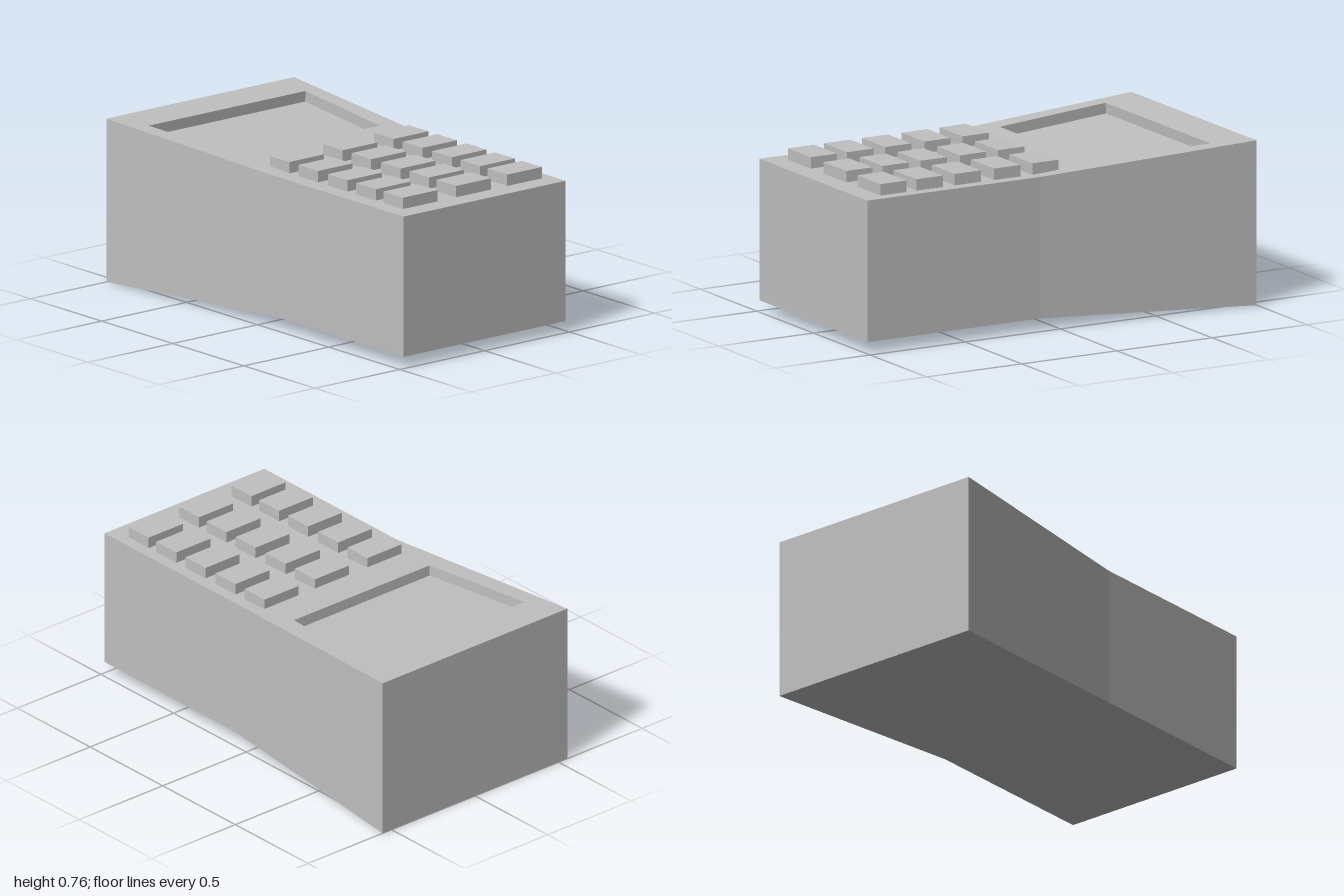
import * as THREE from 'three';

// Turns a list of quads (corners counter-clockwise from outside) into a flat-faced geometry
function quadGeometry(quads) {
  const pos = [];
  for (const [a, b, c, d] of quads) pos.push(...a, ...b, ...c, ...a, ...c, ...d);
  const g = new THREE.BufferGeometry();
  g.setAttribute('position', new THREE.Float32BufferAttribute(pos, 3));
  g.computeVertexNormals();
  return g;
}

// Rectangular body section, corners counter-clockwise as seen from +x
function section(x, y0, y1, z) {
  return [[x, y0, z], [x, y0, -z], [x, y1, -z], [x, y1, z]];
}

export function createModel() {
  const group = new THREE.Group();
  const grey = new THREE.MeshStandardMaterial({ color: 0xc0c0c0, flatShading: true });
  grey.name = 'casing grey';
  const add = (name, geometry) => {
    const m = new THREE.Mesh(geometry, grey);
    m.name = name;
    group.add(m);
    return m;
  };

  // Casing: flared screen end, waist, straight keypad end
  const bend = 0.09, top = 0.712, slope = 0.053 / (1 + bend);
  const wide = section(-1, 0, 0.765, 0.553);
  const waist = section(bend, 0.055, top, 0.478);
  const end = section(1, 0.055, top, 0.478);
  const casing = [[...wide].reverse(), end];
  for (const [s, t] of [[wide, waist], [waist, end]]) {
    for (let i = 0; i < 4; i++) {
      if (s === wide && i === 2) continue; // sloped top is framed around the screen
      const j = (i + 1) % 4;
      casing.push([s[i], s[j], t[j], t[i]]);
    }
  }

  // Sloped top with a tapered opening
  const topAt = (x, z) => [x, top + slope * (bend - x), z];
  const outer = [wide[3], waist[3], waist[2], wide[2]];
  const rim = [topAt(-0.81, 0.462), topAt(-0.22, 0.405), topAt(-0.22, -0.405), topAt(-0.81, -0.462)];
  for (let i = 0; i < 4; i++) {
    const j = (i + 1) % 4;
    casing.push([outer[i], outer[j], rim[j], rim[i]]);
  }
  add('casing', quadGeometry(casing));

  // Sunken screen, parallel to the sloped top
  const depth = 0.05;
  const floor = rim.map(([x, y, z]) => [x - depth * slope, y - depth, z]);
  add('screen', quadGeometry([floor]));
  add('screenRecessWalls', quadGeometry(rim.map((p, i) => {
    const j = (i + 1) % 4;
    return [p, rim[j], floor[j], floor[i]];
  })));

  // Keypad: five columns of three keys
  const keyGeometry = new THREE.BoxGeometry(0.138, 0.065, 0.204);
  [0.032, 0.233, 0.44, 0.64, 0.83].forEach((x, col) => {
    [-0.32, -0.019, 0.295].forEach((z, row) => {
      add(`key${row + 1}_${col + 1}`, keyGeometry).position.set(x, 0.7325, z);
    });
  });

  return group;
}
